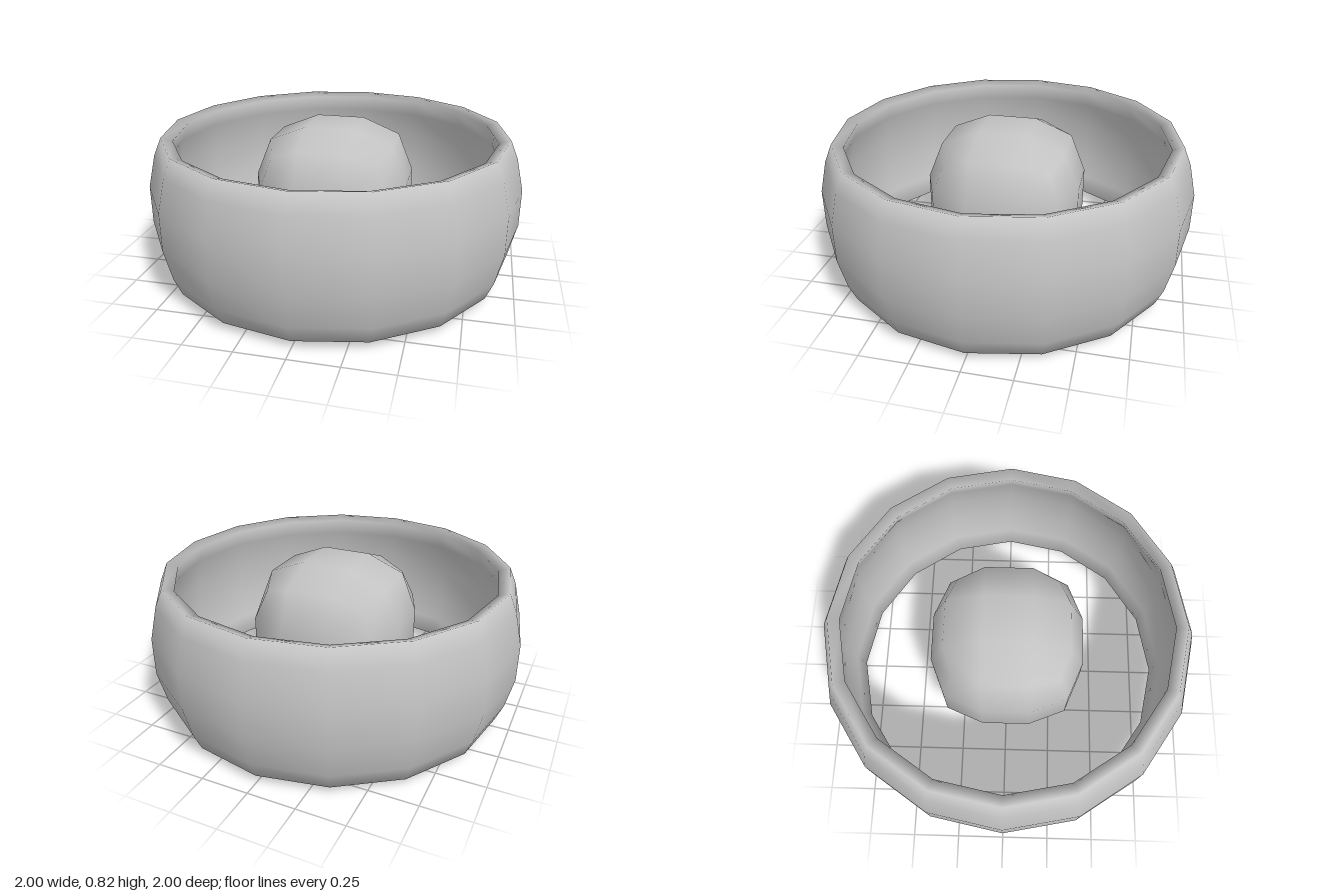
import * as THREE from 'three';
import { mergeVertices } from 'three/addons/utils/BufferGeometryUtils.js';

// Weld all seams so that the normals run smoothly over the whole surface
function smooth(geometry) {
  geometry.deleteAttribute('normal');
  geometry.deleteAttribute('uv');
  const welded = mergeVertices(geometry, 1e-4);
  welded.computeVertexNormals();
  return welded;
}

export function createModel() {
  const model = new THREE.Group();
  const centre = 0.41;
  const grey = new THREE.MeshStandardMaterial({ color: 0xc4c4c4 });
  grey.name = 'plain grey';

  // Bulging ring: closed wall profile as [radius, height from centre]
  const outer = [[0.92, -0.365], [0.96, -0.27], [1, -0.1], [1, 0.1], [0.96, 0.27], [0.92, 0.365]];
  const inner = [[0.86, 0.345], [0.895, 0.25], [0.93, 0.095], [0.93, -0.095], [0.895, -0.25], [0.86, -0.345]];
  const profile = [...outer, ...inner, outer[0]].map(([r, y]) => new THREE.Vector2(r, y));
  const ring = new THREE.Mesh(smooth(new THREE.LatheGeometry(profile, 16)), grey);
  ring.name = 'ring';
  ring.position.y = centre;
  model.add(ring);

  // Core ball: a 3 x 3 x 3 box rounded by pulling in its edges and corners
  const box = new THREE.BoxGeometry(2, 2, 2, 3, 3, 3);
  const pos = box.attributes.position;
  const reach = [0, 0.408, 0.327, 0.275];
  for (let i = 0; i < pos.count; i++) {
    const p = [pos.getX(i), pos.getY(i), pos.getZ(i)];
    const extremes = p.filter((v) => Math.abs(v) > 0.9).length;
    pos.setXYZ(i, ...p.map((v) => Math.sign(v) * (Math.abs(v) > 0.9 ? reach[extremes] : 0.128)));
  }
  const core = new THREE.Mesh(smooth(box), grey);
  core.name = 'core';
  core.position.y = centre;
  model.add(core);

  return model;
}
